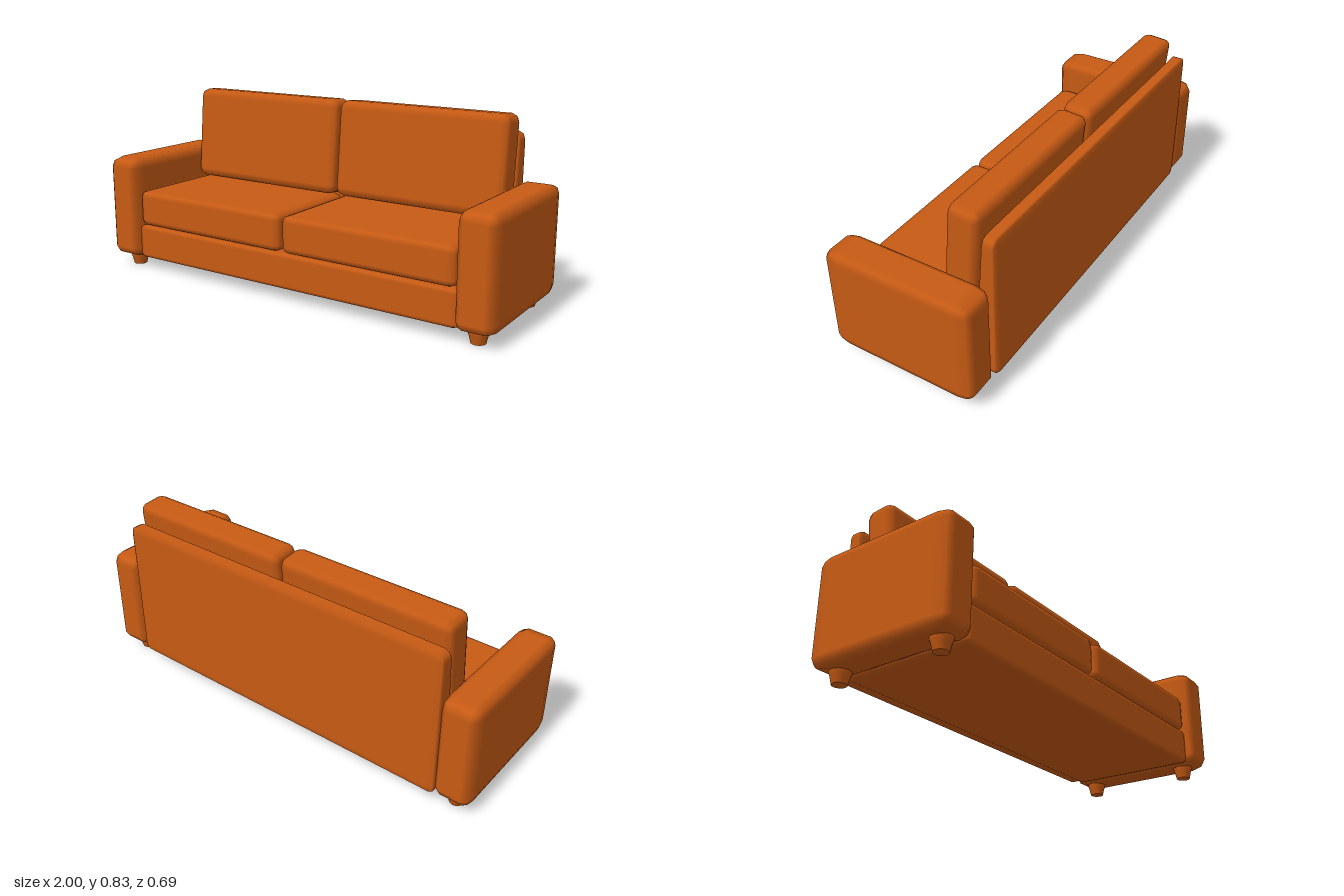
import * as THREE from 'three';
import { RoundedBoxGeometry } from 'three/addons/geometries/RoundedBoxGeometry.js';

const fabric = new THREE.MeshStandardMaterial({ color: 0xc65a14 });

// Softly bevelled box with its own bevel size along each axis.
function softBox(size, bevel) {
  const [w, h, d] = size.map((s, i) => s / bevel[i]);
  return new RoundedBoxGeometry(w, h, d, 1, 1).scale(...bevel);
}

function add(parent, name, geometry, x, y, z) {
  const mesh = new THREE.Mesh(geometry, fabric);
  mesh.name = name;
  mesh.position.set(x, y, z);
  parent.add(mesh);
  return mesh;
}

// Wedge-shaped panel: vertical back face, front face leaning backwards.
function backPanelGeometry() {
  const height = 0.68, depth = 0.08;
  const geo = softBox([1.67, height, depth], [0.03, 0.036, 0.01]);
  const p = geo.attributes.position;
  for (let i = 0; i < p.count; i++) {
    const front = p.getZ(i) / depth + 0.5; // 0 at the back, 1 at the front
    const up = p.getY(i) / height + 0.5;
    p.setZ(i, -depth / 2 + front * THREE.MathUtils.lerp(0.114, 0.056, up));
  }
  geo.computeBoundingSphere();
  return geo;
}

export function createModel() {
  const sofa = new THREE.Group();
  sofa.name = 'sofa';

  // Frame
  add(sofa, 'base', softBox([1.69, 0.162, 0.61], [0.03, 0.02, 0.02]), 0, 0.134, 0.005);
  add(sofa, 'backPanel', backPanelGeometry(), -0.011, 0.396, -0.303);

  // Foot profile, flaring towards the top
  const foot = new THREE.LatheGeometry([
    [0, 0], [0.031, 0], [0.031, 0], [0.038, 0.03], [0.045, 0.05], [0.045, 0.065], [0, 0.065],
  ].map(([x, y]) => new THREE.Vector2(x, y)), 14);

  const arm = softBox([0.168, 0.482, 0.686], [0.034, 0.045, 0.068]);
  const seat = softBox([0.824, 0.17, 0.52], [0.035, 0.03, 0.03]);
  const back = softBox([0.824, 0.44, 0.14], [0.035, 0.038, 0.03]);

  for (const [side, s] of [['left', 1], ['right', -1]]) {
    add(sofa, side + 'Arm', arm, s * 0.916, 0.293, 0.001);
    add(sofa, side + 'SeatCushion', seat, s * 0.417, 0.3, 0.055);
    add(sofa, side + 'BackCushion', back, s * 0.417, 0.606, -0.191).rotation.x = -0.087;
    add(sofa, side + 'FrontFoot', foot, s * 0.907, 0, 0.25);
    add(sofa, side + 'RearFoot', foot, s * 0.907, 0, -0.25);
  }
  return sofa;
}
